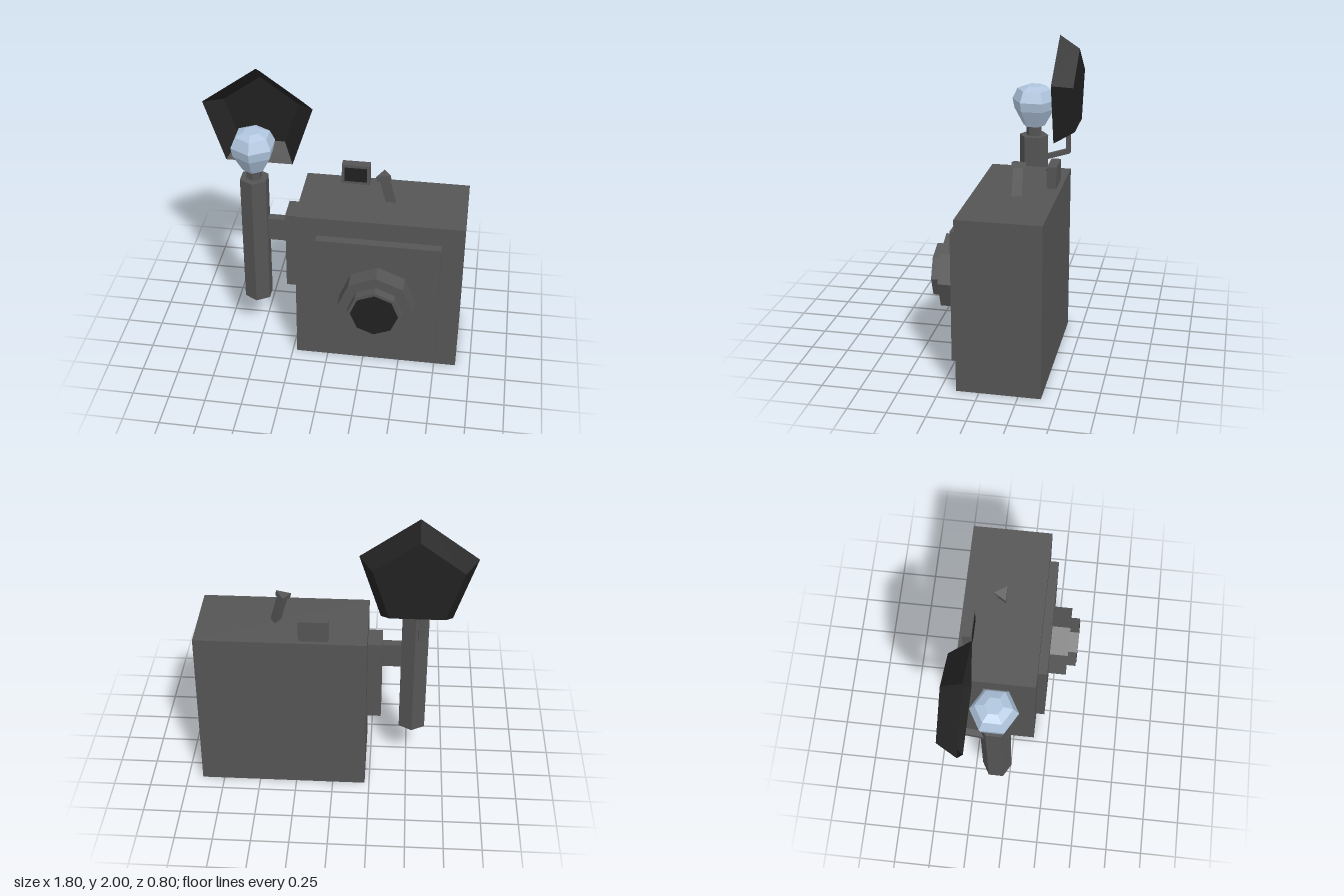
import * as THREE from 'three';

const grey = new THREE.MeshStandardMaterial({ color: 0x555555 });
grey.name = 'camera grey';
const black = new THREE.MeshStandardMaterial({ color: 0x212121 });
black.name = 'dark glass and reflector';
const blue = new THREE.MeshStandardMaterial({ color: 0xb0c6de });
blue.name = 'bulb blue';

// Give every facet its own normal for the low-poly look
function faceted(geometry) {
  const g = geometry.index ? geometry.toNonIndexed() : geometry;
  g.computeVertexNormals();
  return g;
}

export function createModel() {
  const root = new THREE.Group();
  root.name = 'flashCamera';

  function add(name, geometry, material, x = 0, y = 0, z = 0) {
    const mesh = new THREE.Mesh(faceted(geometry), material);
    mesh.name = name;
    mesh.position.set(x, y, z);
    root.add(mesh);
    return mesh;
  }
  // Box given by its limits on each axis
  function box(name, material, x0, x1, y0, y1, z0, z1) {
    return add(name, new THREE.BoxGeometry(x1 - x0, y1 - y0, z1 - z0), material,
      (x0 + x1) / 2, (y0 + y1) / 2, (z0 + z1) / 2);
  }
  // Turned prism from [radius, height] pairs, listed from bottom to top
  function turned(profile, sides, start = 0) {
    const points = profile.map(([r, h]) => new THREE.Vector2(r, h));
    return new THREE.LatheGeometry(points, sides, start);
  }

  // Body and front plate
  box('body', grey, -0.22, 0.9, 0, 1.15, -0.395, 0.148);
  box('frontPlate', grey, -0.075, 0.755, 0.135, 1.015, 0.14, 0.21);

  // Stepped octagonal lens
  const lensParts = [
    ['lensBase', grey, 0.255, 0.2, 0.335],
    ['lensBarrel', grey, 0.182, 0.33, 0.397],
    ['lensGlass', black, 0.16, 0.394, 0.4],
  ];
  for (const [name, material, r, z0, z1] of lensParts) {
    const g = new THREE.CylinderGeometry(r, r, z1 - z0, 8).rotateX(Math.PI / 2);
    add(name, g, material, 0.345, 0.585, (z0 + z1) / 2);
  }

  // Viewfinder with dark window
  box('viewfinder', grey, 0.03, 0.223, 1.14, 1.295, -0.365, -0.303);
  box('viewfinderWindow', black, 0.05, 0.203, 1.17, 1.275, -0.305, -0.299);

  // Leaning three-sided shutter lever and its cap
  const prism = (r, h) => new THREE.CylinderGeometry(r, r, h, 3, 1, false, Math.PI);
  add('shutterLever', prism(0.04, 0.22), grey, 0.367, 1.232, -0.133).rotation.z = 0.26;
  add('shutterCap', prism(0.057, 0.035), grey, 0.337, 1.338, -0.133).rotation.z = 0.2;

  // Side mount and bracket for the flash
  box('flashMount', grey, -0.317, -0.21, 0.445, 1.03, -0.21, -0.03);
  box('flashBracket', grey, -0.47, -0.31, 0.8, 0.97, -0.12, -0.06);

  // Hexagonal handle, neck and bulb
  const fx = -0.53, fz = -0.085;
  add('flashHandle', turned([[0, 0.31], [0.101, 0.31], [0.101, 1.285], [0, 1.285]], 6), grey, fx, 0, fz);
  add('bulbNeck', new THREE.CylinderGeometry(0.053, 0.053, 0.09, 6), grey, fx, 1.325, fz);
  add('bulb', turned([[0, 1.355], [0.076, 1.355], [0.142, 1.475], [0.155, 1.54],
    [0.12, 1.615], [0.06, 1.64], [0, 1.64]], 6), blue, fx, 0, fz);

  // Pentagonal reflector dish, opening to the front
  const dish = turned([[0, -0.397], [0.3, -0.397], [0.39, -0.26], [0.267, -0.385], [0, -0.385]], 5, Math.PI);
  add('reflector', dish.rotateX(Math.PI / 2), black, fx, 1.61, 0);

  // Bent strip carrying the reflector
  const strip = new THREE.Shape([[-0.14, 1.09], [-0.14, 1.125], [-0.31, 1.18], [-0.31, 1.335],
    [-0.34, 1.345], [-0.34, 1.155]].map(([z, y]) => new THREE.Vector2(z, y)));
  const stripGeometry = new THREE.ExtrudeGeometry(strip, { depth: 0.04, bevelEnabled: false });
  add('reflectorArm', stripGeometry.rotateY(-Math.PI / 2), grey, -0.545, 0, 0);

  return root;
}
